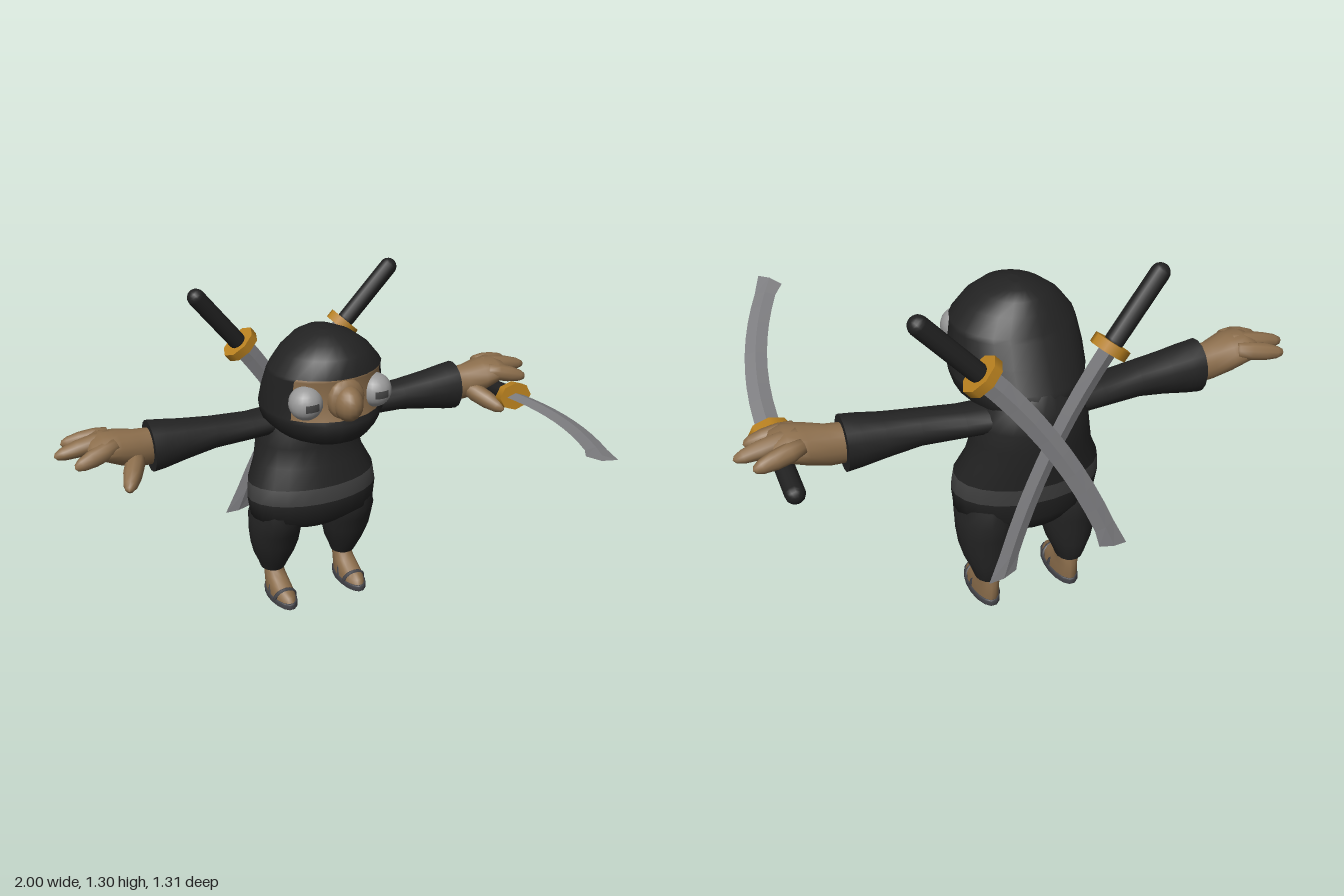
import * as THREE from 'three';

const V = (x, y, z) => new THREE.Vector3(x, y, z);
const mat = (name, color, side = THREE.FrontSide) => {
  const m = new THREE.MeshStandardMaterial({ color, side });
  m.name = name;
  return m;
};

// Elliptical cross-sections: one across y (given width, front and back), one across x
const ringY = (y, w, zf, zb, cx = 0, n = 24) => Array.from({ length: n }, (_, j) => {
  const a = (j - 0.5) / n * Math.PI * 2;
  return V(cx + w * Math.sin(a), y, (zf + zb) / 2 + (zf - zb) / 2 * Math.cos(a));
});
const ringX = (x, cy, cz, ry, rz, n = 16) => Array.from({ length: n }, (_, j) => {
  const a = j / n * Math.PI * 2;
  return V(x, cy + ry * Math.cos(a), cz + rz * Math.sin(a));
});

// Skins a list of rings; pick(row, column) chooses the material index
function loft(rings, pick = () => 0) {
  const n = rings[0].length, rows = rings.length, buckets = [[], []];
  const pts = rings.flat();
  const add = (k, ...ids) => buckets[k].push(...ids);
  for (let i = 0; i < rows - 1; i++) for (let j = 0; j < n; j++) {
    const a = i * n + j, b = i * n + (j + 1) % n;
    add(pick(i, j), a, b, b + n, a, b + n, a + n);
  }
  for (const i of [0, rows - 1]) {
    const start = pts.length;
    pts.push(...rings[i].map(p => p.clone()));
    const c = pts.length;
    pts.push(rings[i].reduce((s, p) => s.add(p), V(0, 0, 0)).divideScalar(n));
    for (let j = 0; j < n; j++) {
      const a = start + j, b = start + (j + 1) % n;
      if (i === 0) add(0, c, b, a); else add(0, c, a, b);
    }
  }
  const g = new THREE.BufferGeometry().setFromPoints(pts);
  g.setIndex(buckets.flat());
  g.addGroup(0, buckets[0].length, 0);
  if (buckets[1].length) g.addGroup(buckets[0].length, buckets[1].length, 1);
  g.computeVertexNormals();
  return g;
}

export function createModel() {
  const cloth = mat('black cloth', 0x232323);
  const belt = mat('belt grey', 0x404040);
  const skin = mat('skin brown', 0x8c6e4c);
  const eyeGrey = mat('eye grey', 0x999999);
  const pupilGrey = mat('pupil grey', 0x454545);
  const steel = mat('blade steel', 0x808083);
  const gold = mat('guard gold', 0xb8801f);
  const gripBlack = mat('grip black', 0x202020);
  const sandal = mat('sandal grey', 0x45454a);

  const model = new THREE.Group();
  const mesh = (name, geo, material, parent = model) => {
    const m = new THREE.Mesh(geo, material);
    m.name = name;
    parent.add(m);
    return m;
  };

  // Torso with a painted belt band
  const torso = [
    [0.315, 0.06, -0.33, -0.44], [0.34, 0.16, -0.28, -0.5], [0.4, 0.262, -0.208, -0.53],
    [0.48, 0.272, -0.2, -0.545], [0.545, 0.264, -0.207, -0.55], [0.62, 0.228, -0.235, -0.56],
    [0.7, 0.21, -0.25, -0.57], [0.77, 0.2, -0.25, -0.57], [0.84, 0.17, -0.28, -0.56], [0.9, 0.12, -0.3, -0.52],
  ].map(r => ringY(...r));
  mesh('torso', loft(torso, i => (i === 3 ? 1 : 0)), [cloth, belt]);

  // Hood with the open face strip at the front
  const hood = [
    [0.765, 0.1, -0.13, -0.36], [0.8, 0.18, -0.06, -0.5], [0.84, 0.22, -0.035, -0.55], [0.885, 0.233, -0.022, -0.53],
    [0.895, 0.233, -0.045, -0.525], [0.97, 0.23, -0.05, -0.48], [1.045, 0.217, -0.055, -0.44], [1.06, 0.214, -0.038, -0.43],
    [1.12, 0.168, -0.075, -0.4], [1.16, 0.115, -0.12, -0.37], [1.182, 0.06, -0.18, -0.33], [1.19, 0.02, -0.22, -0.28],
  ].map(r => ringY(...r));
  const isFace = (i, j) => (i >= 4 && i <= 6 && (j <= 3 || j >= 21) ? 1 : 0);
  mesh('hood', loft(hood, isFace), [cloth, skin]);

  // Nose
  const nose = mesh('nose', new THREE.SphereGeometry(1, 16, 12), skin);
  nose.scale.set(0.055, 0.068, 0.07);
  nose.position.set(0, 0.965, -0.044);
  const bridge = mesh('noseBridge', new THREE.SphereGeometry(1, 12, 8), skin);
  bridge.scale.set(0.075, 0.08, 0.035);
  bridge.position.set(0, 0.975, -0.058);

  // Tapered finger between two points
  const digit = (name, a, b, r, parent) => {
    const d = b.clone().sub(a), h = d.length();
    const profile = [[0, 0], [0.8, 0.04], [1, 0.3], [0.95, 0.6], [0.7, 0.85], [0.4, 0.96], [0, 1]]
      .map(([x, y]) => new THREE.Vector2(x * r, y * h));
    const m = mesh(name, new THREE.LatheGeometry(profile, 10), skin, parent);
    m.position.copy(a);
    m.quaternion.setFromUnitVectors(V(0, 1, 0), d.normalize());
  };

  for (const [label, s] of [['left', 1], ['right', -1]]) {
    const side = new THREE.Group();
    side.name = label + 'Side';
    side.scale.x = s;
    model.add(side);

    // Bulging eye with a thin pupil patch
    const eye = mesh('eye', new THREE.SphereGeometry(0.064, 20, 14), eyeGrey, side);
    const pupil = mesh('pupil', new THREE.SphereGeometry(0.0655, 8, 4, Math.PI / 2 - 0.42, 0.84, Math.PI / 2 - 0.22, 0.44), pupilGrey, side);
    eye.position.set(0.14, 0.97, -0.102);
    pupil.position.copy(eye.position);

    // Sleeve and hand
    mesh('sleeve', loft([
      [0.12, 0.785, -0.41, 0.05, 0.08], [0.25, 0.783, -0.4, 0.052, 0.072], [0.4, 0.79, -0.39, 0.06, 0.072],
      [0.52, 0.788, -0.387, 0.078, 0.078], [0.6, 0.787, -0.385, 0.093, 0.084], [0.65, 0.787, -0.385, 0.1, 0.086],
    ].map(r => ringX(...r))), cloth, side);
    mesh('palm', loft([
      [0.62, 0.787, -0.385, 0.07, 0.055], [0.7, 0.792, -0.382, 0.072, 0.062], [0.77, 0.812, -0.378, 0.066, 0.083],
      [0.83, 0.828, -0.378, 0.052, 0.09], [0.87, 0.83, -0.378, 0.032, 0.075], [0.885, 0.828, -0.378, 0.01, 0.04],
    ].map(r => ringX(...r))), skin, side);
    digit('finger', V(0.78, 0.845, -0.435), V(0.955, 0.82, -0.475), 0.033, side);
    digit('finger', V(0.78, 0.855, -0.385), V(1, 0.815, -0.39), 0.034, side);
    digit('finger', V(0.78, 0.845, -0.33), V(0.95, 0.8, -0.295), 0.034, side);
    digit('thumb', V(0.7, 0.78, -0.37), V(0.79, 0.715, -0.2), 0.037, side);

    // Baggy trouser leg
    mesh('leg', loft([
      [0.12, 0.05, -0.37, -0.478], [0.15, 0.06, -0.35, -0.49], [0.2, 0.082, -0.322, -0.5], [0.26, 0.098, -0.295, -0.502],
      [0.32, 0.105, -0.275, -0.508], [0.38, 0.104, -0.245, -0.515], [0.44, 0.085, -0.25, -0.5],
    ].map(r => ringY(...r, 0.16, 16))), cloth, side);

    // Foot, sole and straps
    mesh('foot', loft([
      [0.02, 0.047, -0.242, -0.47], [0.045, 0.047, -0.255, -0.473], [0.068, 0.044, -0.3, -0.473],
      [0.09, 0.041, -0.345, -0.472], [0.11, 0.04, -0.375, -0.468], [0.14, 0.04, -0.38, -0.465],
    ].map(r => ringY(...r, 0.157, 16))), skin, side);
    mesh('sole', loft([0, 0.004, 0.022, 0.026].map((y, i) => {
      const k = i % 3 ? 0 : 0.004;
      return ringY(y, 0.053 - k, -0.235 - k, -0.477 + k, 0.157, 16);
    })), sandal, side);
    for (const [z, h, tilt] of [[-0.315, 0.047, 0.35], [-0.36, 0.077, -0.25]]) {
      const strap = mesh('strap', new THREE.TorusGeometry(1, 0.13, 6, 14, Math.PI), sandal, side);
      strap.scale.set(0.046, h, 0.07);
      strap.position.set(0.157, 0.02, z);
      strap.rotation.x = tilt;
    }
  }

  // Curved sword placed by its grip end, guard centre and blade tip
  const sword = (name, end, guardAt, tip) => {
    const g = new THREE.Group();
    g.name = name;
    const grip = guardAt.distanceTo(end);
    const up = guardAt.clone().sub(end).normalize();
    const reach = tip.clone().sub(guardAt);
    const length = reach.dot(up);
    const bend = reach.addScaledVector(up, -length);
    const sweep = bend.length();
    bend.normalize();
    g.quaternion.setFromRotationMatrix(new THREE.Matrix4().makeBasis(bend, up, bend.clone().cross(up)));
    g.position.copy(guardAt);
    model.add(g);

    const handle = mesh('grip', new THREE.CapsuleGeometry(0.034, grip - 0.05, 5, 12), gripBlack, g);
    handle.position.y = -grip / 2;
    const guard = mesh('guard', new THREE.CylinderGeometry(1, 1, 0.036, 8).toNonIndexed(), gold, g);
    guard.scale.set(0.074, 1, 0.056);
    guard.rotation.y = 0;
    // Diamond section blade with an angled tip
    const steps = 10, rings = [];
    for (let i = 0; i <= steps; i++) {
      const t = i / steps, c = (sweep - 0.01) * t * t, slope = 2 * sweep * t / length;
      const w = 0.041 - 0.006 * t, th = 0.014 - 0.004 * t;
      const cut = i === steps ? 0.025 : 0;
      const at = (x, z) => V(c + x, t * (length - 0.02) - x * slope - cut * x / w, z);
      rings.push([at(0, th), at(w, 0), at(0, -th), at(-w, 0)]);
    }
    const blade = loft(rings).toNonIndexed();
    blade.computeVertexNormals();
    mesh('blade', blade, steel, g);
  };
  sword('heldSword', V(0.84, 0.72, -0.53), V(0.842, 0.765, -0.215), V(0.625, 0.9, 0.645));
  sword('leftBackSword', V(0.46, 1.285, -0.568), V(0.245, 1.055, -0.583), V(-0.23, 0.27, -0.637));
  sword('rightBackSword', V(-0.395, 1.29, -0.535), V(-0.205, 1.05, -0.56), V(0.19, 0.24, -0.618));
  return model;
}
